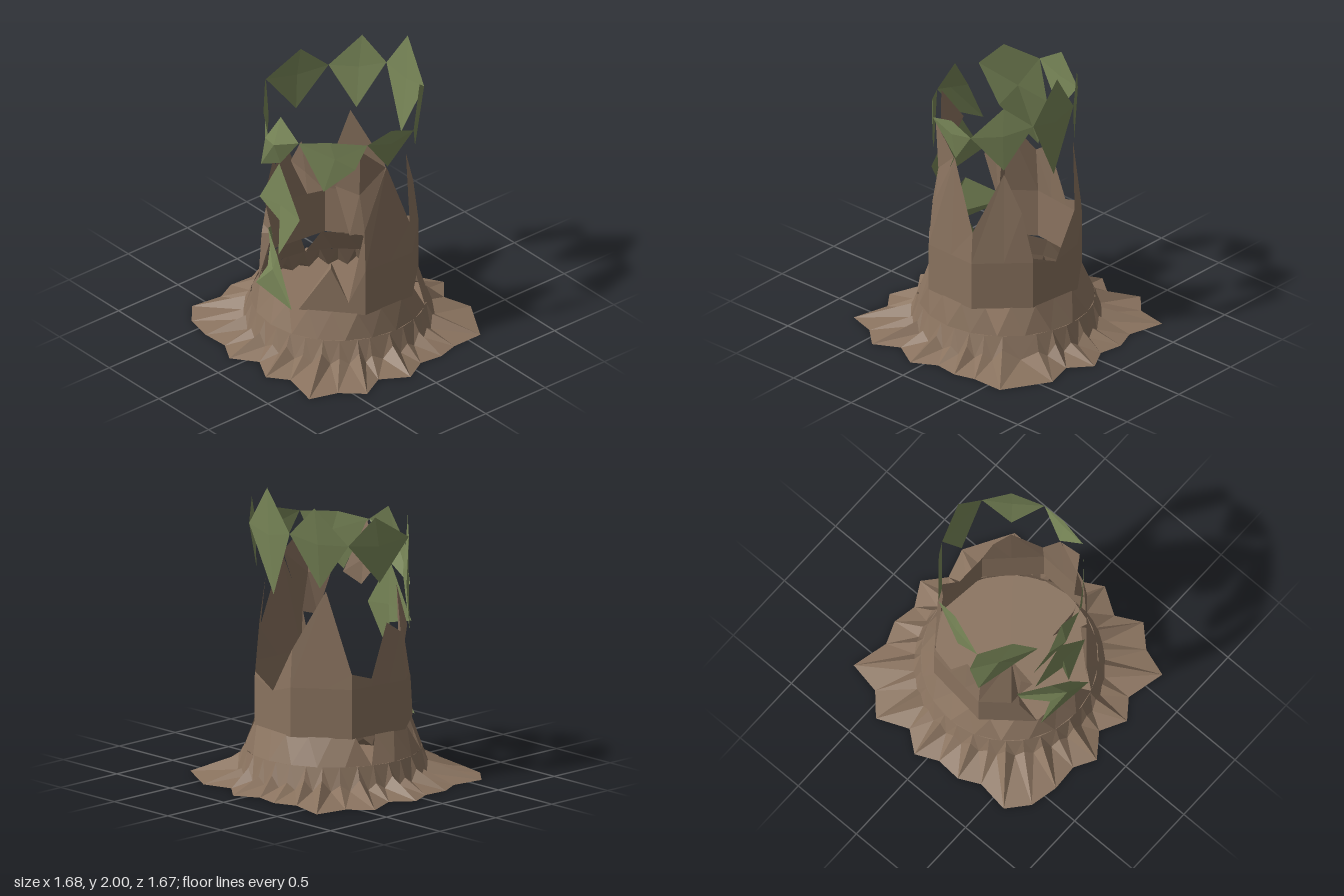
import * as THREE from 'three';

const bark = new THREE.MeshStandardMaterial({ color: 0x8a735f, flatShading: true, side: THREE.DoubleSide });
bark.name = 'bark brown';
const moss = new THREE.MeshStandardMaterial({ color: 0x7a8859, flatShading: true, side: THREE.DoubleSide });
moss.name = 'moss green';

// point on the trunk: angle in degrees from the front towards +x, height, radius
const rad = THREE.MathUtils.degToRad;
function at(a, y, r) {
  return [0.01 + r * Math.sin(rad(a)), y, -0.01 + r * Math.cos(rad(a))];
}

// the trunk is a rough octagon of [angle, radius] corners, leaning inwards with height
const corners = [
  [-29, 0.53], [21, 0.53], [68, 0.56], [108, 0.56], [151, 0.525], [194, 0.52], [240, 0.515], [289, 0.525], [331, 0.53],
];
function trunkRadius(a, y) {
  const t = a > 331 ? a - 360 : a < -29 ? a + 360 : a;
  const i = Math.max(1, corners.findIndex((c) => c[0] >= t));
  const [a1, r1] = corners[i - 1], [a2, r2] = corners[i];
  const sin = (d) => Math.sin(rad(d));
  const side = r1 * r2 * sin(a2 - a1) / (r1 * sin(t - a1) + r2 * sin(a2 - t));
  return side * (1 - 0.16 * Math.min(0.6, Math.max(0, y - 0.7)));
}

function meshOf(name, tris, material) {
  const g = new THREE.BufferGeometry();
  g.setAttribute('position', new THREE.Float32BufferAttribute(tris.flat(2), 3));
  g.computeVertexNormals();
  const m = new THREE.Mesh(g, material);
  m.name = name;
  return m;
}

// ragged patch: a nearly flat fan; points are [angle, height, radius?]
function patch(name, pts, material, middle) {
  const n = pts.length;
  const v = pts.map(([a, y, r]) => at(a, y, r ?? trunkRadius(a, y)));
  const mean = [0, 1, 2].map((k) => v.reduce((s, p) => s + p[k], 0) / n);
  const c = middle ? at(...middle) : [mean[0] * 1.02, mean[1], mean[2] * 1.02];
  return meshOf(name, v.map((p, i) => [c, v[(i + 1) % n], p]), material);
}

export function createModel() {
  const model = new THREE.Group();

  // spreading root skirt: jagged outline on the ground, [x, z]
  const outline = [
    [-0.64, -0.78], [-0.68, -0.56], [-0.82, -0.43], [-0.73, -0.22], [-0.84, -0.08], [-0.77, 0.07],
    [-0.78, 0.24], [-0.71, 0.38], [-0.74, 0.6], [-0.6, 0.72], [-0.41, 0.76], [-0.23, 0.75],
    [-0.09, 0.83], [0.07, 0.71], [0.24, 0.8], [0.37, 0.7], [0.63, 0.76], [0.69, 0.57],
    [0.82, 0.43], [0.73, 0.26], [0.84, 0.08], [0.75, -0.08], [0.77, -0.24], [0.73, -0.38],
    [0.73, -0.6], [0.42, -0.78], [0.22, -0.72], [0.08, -0.84], [-0.08, -0.75], [-0.24, -0.78],
    [-0.39, -0.72],
  ];
  const n = outline.length;
  const skirt = [], foot = [], floor = [];
  for (let i = 0; i < n; i++) {
    const p = outline[i], q = outline[(i + 1) % n];
    const a = THREE.MathUtils.radToDeg(Math.atan2(p[0], p[1]));
    let b = THREE.MathUtils.radToDeg(Math.atan2(q[0], q[1]));
    if (b > a) b -= 360;
    if (a - b > 180) b += 360;
    const p0 = [p[0], 0, p[1]], q0 = [q[0], 0, q[1]];
    const ridge = (k) => (k % 2 ? 0.09 : 0.12);
    const pm = at(a, ridge(i), 0.615), qm = at(b, ridge((i + 1) % n), 0.615), dip = at((a + b) / 2, 0.05, 0.62);
    const p2 = at(a, 0.2, 0.575), q2 = at(b, 0.2, 0.575);
    // ridges with a small dip between them, then the steeper foot
    skirt.push([p0, q0, dip], [p0, dip, pm], [q0, qm, dip]);
    foot.push([pm, dip, p2], [dip, q2, p2], [dip, qm, q2]);
    floor.push([[0, 0.002, 0], p0, q0]);
  }
  model.add(meshOf('rootSkirt', skirt, bark), meshOf('rootFoot', foot, bark), meshOf('floor', floor, bark));

  // collar between the roots and the trunk, with a few gaps
  const collar = [], N = 20, gaps = [0, 6, 13, 16];
  for (let i = 0; i < N; i++) {
    const a = i * 18, m = a + 9;
    const low = at(a, 0.2, 0.575), lowNext = at(a + 18, 0.2, 0.575);
    const top = at(m, 0.375, trunkRadius(m, 0.375)), next = at(m + 18, 0.375, trunkRadius(m + 18, 0.375));
    collar.push([low, lowNext, top]);
    if (!gaps.includes(i)) collar.push([lowNext, next, top]);
  }
  model.add(meshOf('trunkCollar', collar, bark));

  // broken trunk wall: [angle, top height, top radius?]
  const crest = [
    [21, 0.375], [44, 0.72, 0.46], [57, 0.45], [68, 0.98], [89, 1.4, 0.49], [108, 0.92], [130, 1.32, 0.44],
    [144, 1.05], [151, 0.73], [173, 0.64], [194, 0.95], [220, 1.34, 0.43], [240, 0.8], [258, 0.75],
    [275, 1.1, 0.46], [289, 1.02, 0.49], [313, 1.28, 0.41], [319, 0.66, 0.43], [331, 0.375],
  ];
  const wall = [];
  const column = ([a, top, r]) => {
    const mid = Math.min(top, 0.7);
    return [[0.37], [mid], [top, r]].map(([y, w]) => at(a, y, w ?? trunkRadius(a, y)));
  };
  for (let i = 0; i + 1 < crest.length; i++) {
    const p = column(crest[i]), q = column(crest[i + 1]);
    for (let k = 0; k < 2; k++) wall.push([p[k], q[k], q[k + 1]], [p[k], q[k + 1], p[k + 1]]);
  }
  model.add(meshOf('trunkWall', wall, bark));

  // loose bark shards
  const shards = [
    [[-47, 1.28, 0.41], [-31, 0.98, 0.49], [-41, 0.66, 0.43]],
    [[-3, 1.36, 0.39], [18, 1.6, 0.46], [38, 1.25, 0.43], [20, 1.18, 0.41]],
    [[47, 1.28, 0.42], [66, 1.58, 0.5], [88, 1.4, 0.49], [69, 0.97, 0.52], [58, 0.95, 0.5]],
  ];
  shards.forEach((s) => model.add(patch('barkShard', s, bark)));

  // moss climbing the front
  const climbing = [
    { pts: [[-27, 0.37, 0.55], [17, 0.37, 0.56], [0, 0.7, 0.52], [-16, 0.83, 0.5], [-52, 0.67, 0.44], [-17, 0.54, 0.5]], mid: [-4, 0.58, 0.53] },
    { pts: [[-30, 1.0, 0.52], [-5, 1.36, 0.47], [21, 1.04, 0.52], [0, 0.7, 0.51], [-3, 0.94, 0.48]], mid: [-2, 1.06, 0.48] },
    { pts: [[-31, 1.24, 0.51], [-19, 1.5, 0.51], [-3, 1.72, 0.47], [18, 1.6, 0.49], [-5, 1.36, 0.46]], mid: [-4, 1.52, 0.52] },
  ];
  climbing.forEach((c) => model.add(patch('climbingMoss', c.pts, moss, c.mid)));

  // ring of leafy moss around the top, one patch for each flat side
  const crown = [
    [[18, 1.6, 0.49], [43, 1.64, 0.48], [70, 1.64, 0.54], [62, 1.45, 0.51], [38, 1.26, 0.47]],
    [[70, 1.64, 0.54], [90, 1.69, 0.53], [108, 1.63, 0.57], [90, 1.4, 0.49]],
    [[108, 1.63, 0.57], [130, 1.85, 0.53], [150, 1.72, 0.56], [130, 1.38, 0.5]],
    [[150, 1.72, 0.56], [171, 2.0, 0.52], [192, 1.72, 0.5], [172, 1.28, 0.475]],
    [[192, 1.72, 0.5], [211, 1.9, 0.465], [238, 1.65, 0.48], [215, 1.36, 0.44]],
    [[238, 1.65, 0.48], [262, 1.82, 0.465], [289, 1.66, 0.55], [266, 1.38, 0.47]],
    [[-71, 1.66, 0.55], [-46, 1.78, 0.48], [-27, 1.65, 0.5], [-42, 1.35, 0.45], [-70, 1.03, 0.55], [-76, 1.35, 0.56]],
  ];
  crown.forEach((c) => model.add(patch('crownMoss', c, moss)));

  return model;
}
